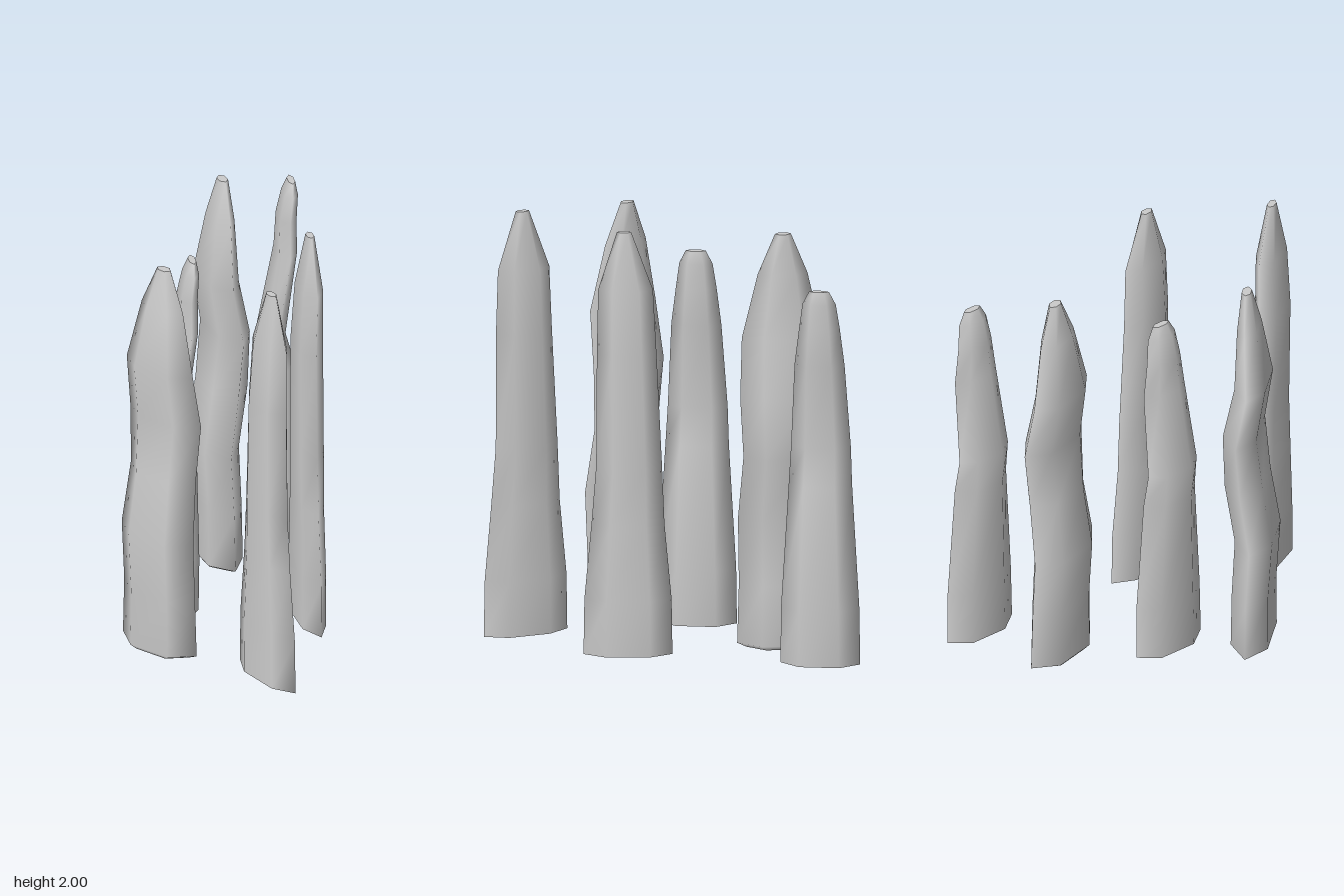
import * as THREE from 'three';

// Six-sided flattened section: pointed along z, flat along x
const SECTION = [[1, -0.5], [1, 0.5], [0, 1], [-1, 0.5], [-1, -0.5], [0, -1]];

// Rings of each stone: [height, x offset, z offset, half thickness, half width]
const SLENDER = [
  [0.02, 0, 0, 0.056, 0.2], [0.28, 0, 0, 0.056, 0.196], [0.63, -0.002, 0, 0.053, 0.164],
  [0.9, 0, -0.005, 0.055, 0.148], [1.43, -0.005, 0.006, 0.055, 0.134],
  [1.73, 0.004, 0.011, 0.047, 0.123], [2.0, 0.006, 0.018, 0.016, 0.032],
];
const BROAD = [
  [0, -0.01, 0, 0.07, 0.16], [0.02, -0.01, 0, 0.085, 0.203], [0.3, -0.012, 0, 0.083, 0.195],
  [0.6, -0.028, 0, 0.085, 0.197], [0.9, 0.018, 0, 0.087, 0.178], [1.18, 0.035, 0, 0.077, 0.195],
  [1.45, -0.01, 0, 0.07, 0.182], [1.75, 0.01, 0, 0.045, 0.113], [1.94, 0.022, 0, 0.02, 0.036],
];
const CROOKED = [
  [0.02, 0, 0, 0.07, 0.18], [0.28, 0.004, 0, 0.07, 0.177], [0.86, -0.005, 0, 0.07, 0.143],
  [1.03, -0.03, 0, 0.05, 0.135], [1.43, 0.034, 0, 0.041, 0.113], [1.6, 0.038, 0, 0.038, 0.092],
  [1.72, 0.054, 0, 0.03, 0.075], [1.78, 0.06, 0, 0.015, 0.045],
];

// Lofts the rings into smooth sides with separate flat end caps
function stoneGeometry(rings) {
  const n = SECTION.length, pos = [], idx = [];
  const addRing = ([y, u, v, w, l]) => {
    for (const [x, z] of SECTION) pos.push(u + x * w, y, v + z * l);
  };
  rings.forEach(addRing);
  for (let r = 0; r < rings.length - 1; r++) {
    for (let i = 0; i < n; i++) {
      const a = r * n + i, b = r * n + (i + 1) % n;
      idx.push(a, a + n, b, b, a + n, b + n);
    }
  }
  const bottom = rings.length * n, top = bottom + n;
  addRing(rings[0]);
  addRing(rings[rings.length - 1]);
  for (let i = 1; i < n - 1; i++) {
    idx.push(bottom, bottom + i, bottom + i + 1);
    idx.push(top, top + i + 1, top + i);
  }
  const g = new THREE.BufferGeometry();
  g.setAttribute('position', new THREE.Float32BufferAttribute(pos, 3));
  g.setIndex(idx);
  g.computeVertexNormals();
  return g;
}

export function createModel() {
  const model = new THREE.Group();
  model.name = 'standingStones';
  const material = new THREE.MeshStandardMaterial({ color: 0xcccccc });

  // Each kind of stone stands twice: [x, z, turn in degrees]
  const kinds = [
    ['slenderStone', SLENDER, [[0.055, 0.685, 26], [0.348, 0.193, 6]]],
    ['broadStone', BROAD, [[-0.345, 0.28, 42], [0.087, -0.478, 13]]],
    ['crookedStone', CROOKED, [[-0.185, -0.066, 0], [0.409, -0.682, 0]]],
  ];
  for (const [name, rings, places] of kinds) {
    const geometry = stoneGeometry(rings);
    places.forEach(([x, z, turn], i) => {
      const stone = new THREE.Mesh(geometry, material);
      stone.name = name + (i + 1);
      stone.position.set(x, 0, z);
      stone.rotation.y = THREE.MathUtils.degToRad(turn);
      model.add(stone);
    });
  }
  return model;
}
